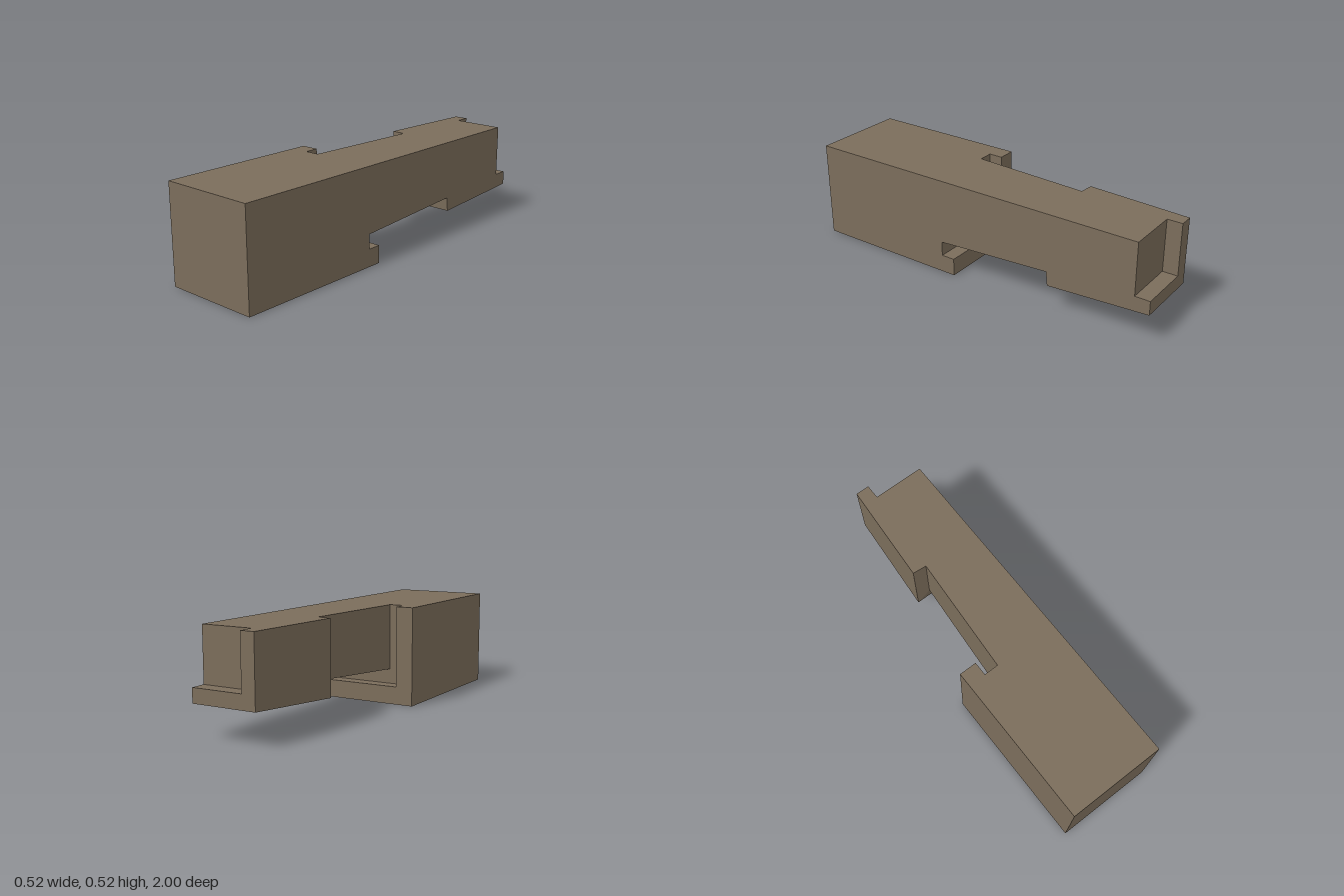
import * as THREE from 'three';

const RIGHT = 0.262; // flat side plane, x
const TOP = 0.53;    // flat top plane, y

// Profile as [z, size]: a square of this size hangs from the top right edge.
const PROFILE = [
  [1, 0], [1, 0.522],             // front end of the large block
  [0.125, 0.522], [0.125, 0.427], // back rim of the large block
  [0.2, 0.427], [0.2, 0.349],     // recess around the neck
  [-0.443, 0.31],                 // tapering neck
  [-0.45, 0.385], [-1, 0.351],    // tapering rear block
  [-1, 0.277], [-0.92, 0.277],    // rear lip and its notch
  [-0.92, 0],
];

function createBarGeometry() {
  const positions = [];
  const tri = (...points) => points.forEach((p) => positions.push(...p));
  const quad = (a, b, c, d) => { tri(a, b, c); tri(a, c, d); };

  // The three points of the L-shaped section at one profile point
  const topLeft = ([z, s]) => [RIGHT - s, TOP, z];
  const corner = ([z, s]) => [RIGHT - s, TOP - s, z];
  const lowRight = ([z, s]) => [RIGHT, TOP - s, z];

  // Stepped sides, underside and end faces
  for (let i = 0; i < PROFILE.length - 1; i++) {
    const p = PROFILE[i], q = PROFILE[i + 1];
    quad(topLeft(p), topLeft(q), corner(q), corner(p));
    quad(corner(p), corner(q), lowRight(q), lowRight(p));
  }

  // Flat side and flat top share the profile outline
  const outline = PROFILE.map(([z, s]) => new THREE.Vector2(z, s));
  for (const face of THREE.ShapeUtils.triangulateShape(outline, [])) {
    if (THREE.ShapeUtils.area(face.map((i) => outline[i])) < 0) face.reverse();
    const [a, b, c] = face.map((i) => PROFILE[i]);
    tri(lowRight(a), lowRight(b), lowRight(c));
    tri(topLeft(a), topLeft(c), topLeft(b));
  }

  const geometry = new THREE.BufferGeometry();
  geometry.setAttribute('position', new THREE.Float32BufferAttribute(positions, 3));
  geometry.computeVertexNormals(); // unshared corners keep every edge sharp
  return geometry;
}

export function createModel() {
  const material = new THREE.MeshStandardMaterial({ color: 0x7b6d5b });
  material.name = 'greyBrown';
  const bar = new THREE.Mesh(createBarGeometry(), material);
  bar.name = 'steppedBar';
  const group = new THREE.Group();
  group.name = 'steppedBlock';
  group.add(bar);
  return group;
}
